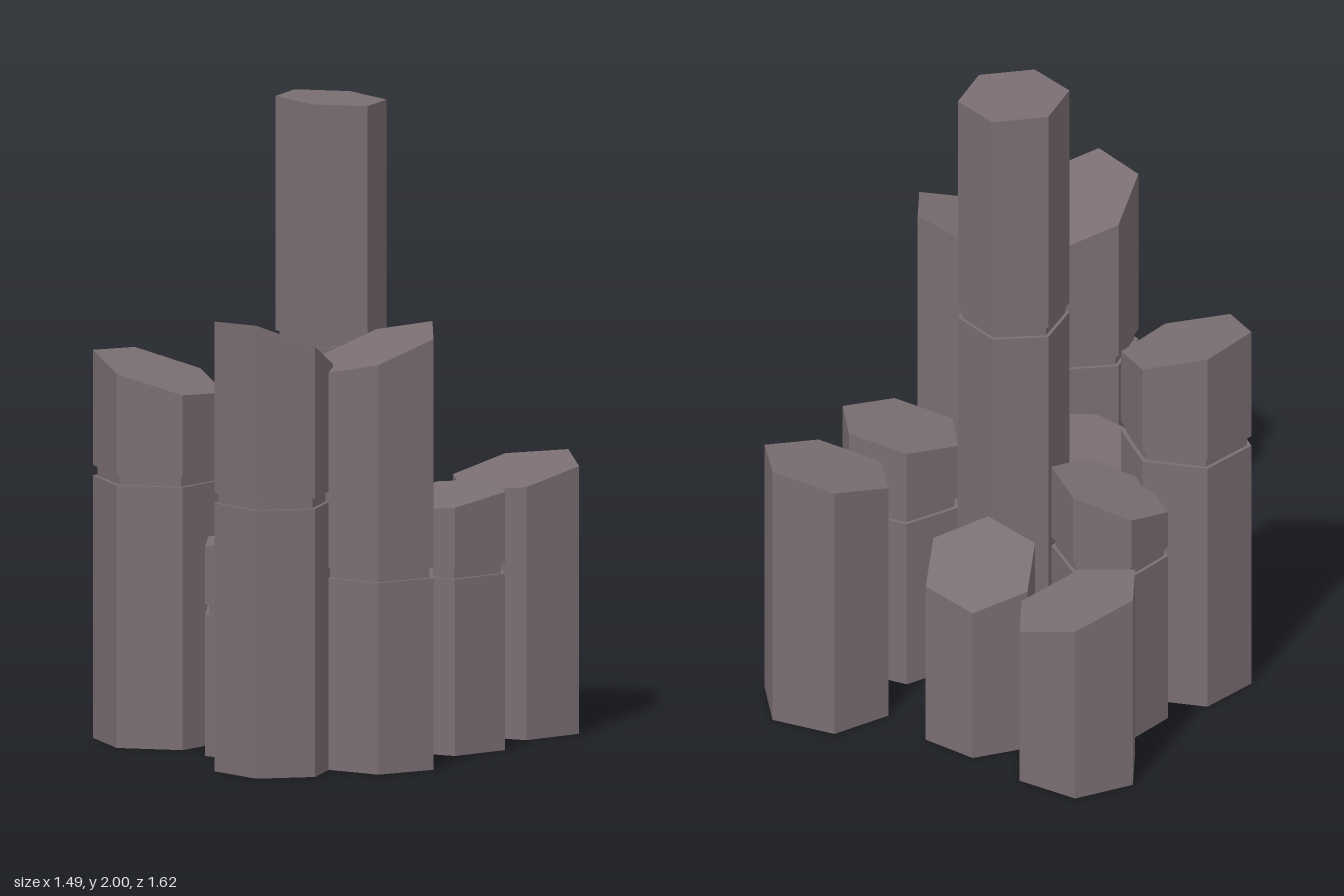
import * as THREE from 'three';

const STRETCH = 1.1;  // columns are slightly deeper than wide
const INSET = 0.93;   // groove radius relative to its column
const GAP = 0.032;    // groove height

// x, z: centre; r: radius; turn: degrees; h: height at the centre;
// sx, sz: slope of the top; groove: height of the groove's lower edge
const COLUMNS = [
  { name: 'tallCentreColumn', x: -0.043, z: 0.05, r: 0.172, turn: 6, h: 1.99, sx: -0.055, sz: 0, groove: 1.24 },
  { name: 'frontColumn', x: -0.043, z: 0.598, r: 0.196, turn: 45.5, h: 1.295, sx: 0.34, sz: -0.03, groove: 0.595 },
  { name: 'frontLeftColumn', x: -0.378, z: 0.619, r: 0.185, turn: 3.3, h: 1.325, sx: -0.4, sz: 0.24, groove: 0.832 },
  { name: 'farLeftColumn', x: -0.561, z: -0.062, r: 0.203, turn: 25.5, h: 1.145, sx: -0.23, sz: -0.18, groove: 0.815 },
  { name: 'innerLeftColumn', x: -0.312, z: 0.254, r: 0.201, turn: 49, h: 0.67, sx: 0.1, sz: 0.05, groove: 0.44 },
  { name: 'frontRightColumn', x: 0.26, z: 0.283, r: 0.194, turn: 38.5, h: 0.78, sx: 0.16, sz: -0.023, groove: 0.548 },
  { name: 'farRightColumn', x: 0.555, z: 0.011, r: 0.206, turn: 37.3, h: 0.805, sx: 0.21, sz: -0.06 },
  { name: 'backLeftColumn', x: -0.275, z: -0.258, r: 0.18, turn: 22.5, h: 0.765, sx: 0.34, sz: 0.035, groove: 0.555 },
  { name: 'backRightColumn', x: 0.138, z: -0.285, r: 0.181, turn: 51.5, h: 0.565, sx: -0.175, sz: 0.314 },
  { name: 'backColumn', x: -0.095, z: -0.602, r: 0.2, turn: 46, h: 0.57, sx: -0.336, sz: -0.094 },
];

// Six-sided prism from y0 to y1 whose top is sheared by the slopes sx and sz
function prism(r, turn, y0, y1, sx = 0, sz = 0) {
  const start = THREE.MathUtils.degToRad(90 - turn);
  const geo = new THREE.CylinderGeometry(r, r, 1, 6, 1, false, start).toNonIndexed();
  geo.scale(1, 1, STRETCH);
  const p = geo.attributes.position;
  for (let i = 0; i < p.count; i++) {
    p.setY(i, p.getY(i) < 0 ? y0 : y1 + sx * p.getX(i) + sz * p.getZ(i));
  }
  geo.computeVertexNormals();
  return geo;
}

export function createModel() {
  const model = new THREE.Group();
  model.name = 'basaltColumns';
  const stone = new THREE.MeshStandardMaterial({ color: 0x7a6e72, flatShading: true });

  for (const c of COLUMNS) {
    const column = new THREE.Group();
    column.name = c.name;
    column.position.set(c.x, 0, c.z);
    const add = (name, geo) => {
      const mesh = new THREE.Mesh(geo, stone);
      mesh.name = name;
      column.add(mesh);
    };

    if (c.groove) {
      // lower block, recessed joint and slanted upper block
      const top = c.groove + GAP;
      add('lowerBlock', prism(c.r, c.turn, 0, c.groove));
      add('joint', prism(c.r * INSET, c.turn, c.groove, top));
      add('upperBlock', prism(c.r, c.turn, top, c.h, c.sx, c.sz));
    } else {
      add('block', prism(c.r, c.turn, 0, c.h, c.sx, c.sz));
    }
    model.add(column);
  }
  return model;
}
